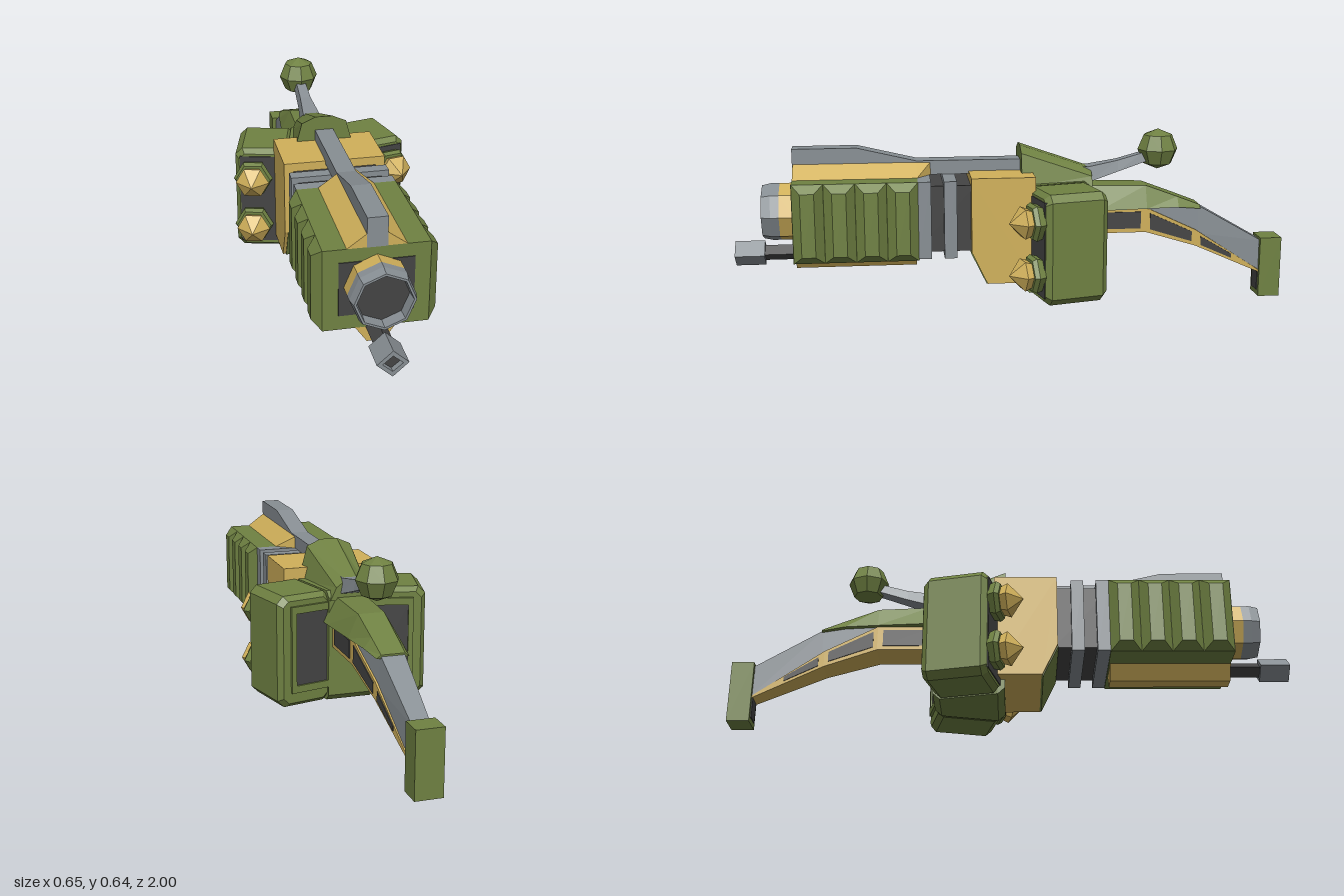
import * as THREE from 'three';

const mat = (color) => new THREE.MeshStandardMaterial({ color, flatShading: true });

export function createModel() {
  const model = new THREE.Group();
  const green = mat(0x6f8142), gold = mat(0xd0b05a), grey = mat(0x878e93), dark = mat(0x444444);

  const add = (name, geometry, material, parent = model) => {
    const mesh = new THREE.Mesh(geometry, material);
    mesh.name = name;
    parent.add(mesh);
    return mesh;
  };

  // Box given by its limits
  const box = (name, material, x0, x1, y0, y1, z0, z1, parent) => {
    const g = new THREE.BoxGeometry(x1 - x0, y1 - y0, z1 - z0);
    g.translate((x0 + x1) / 2, (y0 + y1) / 2, (z0 + z1) / 2);
    return add(name, g, material, parent);
  };

  // Capped skin over sections [z, points], front to back, points anticlockwise from the front
  const loft = (sections) => {
    const n = sections[0][1].length, last = sections.length - 1, pos = [];
    const put = (s, i) => pos.push(...sections[s][1][i % n], sections[s][0]);
    for (let s = 0; s < last; s++) {
      for (let i = 0; i < n; i++) {
        put(s, i); put(s + 1, i); put(s + 1, i + 1);
        put(s, i); put(s + 1, i + 1); put(s, i + 1);
      }
    }
    for (let i = 1; i < n - 1; i++) {
      put(0, 0); put(0, i); put(0, i + 1);
      put(last, 0); put(last, i + 1); put(last, i);
    }
    const g = new THREE.BufferGeometry();
    g.setAttribute('position', new THREE.Float32BufferAttribute(pos, 3));
    g.computeVertexNormals();
    return g;
  };

  // Side profile of (z, y) points, extruded across x
  const extrudeX = (points, width) => {
    const shape = new THREE.Shape(points.map((p) => new THREE.Vector2(...p)));
    const g = new THREE.ExtrudeGeometry(shape, { depth: width, bevelEnabled: false });
    return g.translate(0, 0, -width / 2).rotateY(-Math.PI / 2);
  };

  // Symmetric trapezoid, and rectangle with cut corners
  const trap = (bottom, top, y0, y1) => [[-bottom, y0], [bottom, y0], [top, y1], [-top, y1]];
  const cutRect = (w, y0, y1, c) => [[-w + c, y0], [w - c, y0], [w, y0 + c], [w, y1 - c],
    [w - c, y1], [-w + c, y1], [-w, y1 - c], [-w, y0 + c]];

  // Barrel housing with tapered side ribs
  box('barrelHousing', green, -0.17, 0.17, 0.21, 0.49, 0.35, 0.785);
  box('frontPanel', dark, -0.12, 0.12, 0.26, 0.445, 0.78, 0.788);
  for (const side of [-1, 1]) {
    for (let i = 0; i < 4; i++) {
      const rib = add('barrelRib', loft([[0.03, trap(0.024, 0.024, 0.238, 0.462)],
        [0, trap(0.054, 0.054, 0.21, 0.49)]]), green);
      rib.rotation.y = side * Math.PI / 2;
      rib.position.set(side * 0.17, 0, 0.404 + i * 0.1085);
    }
  }

  // Ridge, keel and top rail
  add('topRidge', loft([[0.785, trap(0.095, 0.033, 0.49, 0.535)], [0.35, trap(0.095, 0.033, 0.49, 0.535)],
    [0.3, trap(0.033, 0.03, 0.49, 0.535)]]), gold);
  add('keel', loft([[0.785, trap(0.028, 0.067, 0.157, 0.212)], [0.355, trap(0.028, 0.067, 0.157, 0.212)]]), gold);
  add('topRail', extrudeX([[0.787, 0.49], [0.787, 0.59], [0.56, 0.59], [0.35, 0.54],
    [-0.04, 0.54], [-0.04, 0.49]], 0.066), grey);

  // Neck and its two collars
  box('neck', dark, -0.145, 0.145, 0.235, 0.47, 0.15, 0.36);
  box('collar', grey, -0.17, 0.17, 0.215, 0.49, 0.305, 0.352);
  box('collar', grey, -0.17, 0.17, 0.215, 0.49, 0.215, 0.26);

  // Eight-sided muzzle
  const muzzle = new THREE.Group();
  muzzle.name = 'muzzle';
  muzzle.position.set(0, 0.36, 0.78);
  muzzle.rotation.x = Math.PI / 2;
  model.add(muzzle);
  add('muzzleBase', new THREE.CylinderGeometry(0.104, 0.104, 0.055, 8).translate(0, 0.0275, 0), gold, muzzle);
  const ring = [[0.104, 0.055], [0.104, 0.085], [0.097, 0.117], [0.089, 0.117], [0.085, 0.06]];
  add('muzzleRing', new THREE.LatheGeometry(ring.map((p) => new THREE.Vector2(...p)), 8), grey, muzzle);
  add('bore', new THREE.CylinderGeometry(0.088, 0.088, 0.01, 8).translate(0, 0.07, 0), dark, muzzle);

  // Diamond-shaped lower rod with a hollow tip
  const diamond = (w, h) => [[0, -h], [w, 0], [0, h], [-w, 0]];
  const tipShape = new THREE.Shape(diamond(0.05, 0.045).map((p) => new THREE.Vector2(...p)));
  tipShape.holes.push(new THREE.Path(diamond(0.032, 0.027).map((p) => new THREE.Vector2(...p))));
  add('rodTip', new THREE.ExtrudeGeometry(tipShape, { depth: 0.105, bevelEnabled: false }), grey)
    .position.set(0, 0.21, 0.895);
  add('rod', loft([[0.98, diamond(0.0325, 0.0275)], [0.78, diamond(0.0325, 0.0275)]]), dark).position.y = 0.21;

  // Receiver block with a sloped lower plate
  add('receiver', extrudeX([[0.165, 0.5], [-0.06, 0.5], [-0.06, 0.12], [0.11, 0.12], [0.165, 0.235]], 0.356), gold);
  add('slopePlate', extrudeX([[0.168, 0.232], [0.113, 0.118], [0.1, 0.122], [0.155, 0.236]], 0.334), green);

  // Central body and the hump above it
  add('centralBody', loft([[-0.02, trap(0.13, 0.13, 0.09, 0.44)], [-0.045, trap(0.13, 0.13, 0.067, 0.46)],
    [-0.25, trap(0.08, 0.08, 0.067, 0.46)], [-0.275, trap(0.08, 0.08, 0.09, 0.44)]]), green);
  const hump = (w, y0, y1, y2) => [[-w, y0], [w, y0], [w * 0.72, y1], [w * 0.28, y2], [-w * 0.28, y2], [-w * 0.72, y1]];
  add('hump', loft([[-0.02, hump(0.112, 0.45, 0.568, 0.59)], [-0.28, hump(0.075, 0.43, 0.475, 0.5)]]), green);

  // Splayed side pods with studs in front and a framed panel behind
  for (const side of [-1, 1]) {
    const pod = new THREE.Group();
    pod.name = side > 0 ? 'leftPod' : 'rightPod';
    pod.position.set(side * 0.19, 0, -0.17);
    pod.rotation.y = side * 0.24;
    model.add(pod);
    const outer = cutRect(0.103, 0.067, 0.46, 0.025), inner = cutRect(0.088, 0.083, 0.444, 0.02);
    add('podBody', loft([[0.115, inner], [0.095, outer], [-0.095, outer], [-0.115, inner]]), green, pod);
    box('podFrontPanel', dark, -0.085, 0.085, 0.095, 0.435, 0.1, 0.118, pod);

    for (const y of [0.175, 0.36]) {
      const stud = new THREE.Group();
      stud.name = 'stud';
      stud.position.set(side * 0.035, y, 0.115);
      stud.rotation.set(Math.PI / 2, 0, 0);
      pod.add(stud);
      const hex = (name, r0, r1, y0, y1, m) => add(name,
        new THREE.CylinderGeometry(r1, r0, y1 - y0, 6).rotateY(Math.PI / 6).translate(0, (y0 + y1) / 2, 0), m, stud);
      hex('studBase', 0.062, 0.071, 0, 0.025, green);
      hex('studBase', 0.071, 0.062, 0.025, 0.04, green);
      hex('studCollar', 0.05, 0.06, 0.04, 0.065, gold);
      hex('studTip', 0.06, 0, 0.065, 0.115, gold);
    }

    const rect = (w, y0, y1) => trap(w, w, y0, y1).map((p) => new THREE.Vector2(...p));
    const frame = new THREE.Shape(rect(0.08, 0.12, 0.425));
    frame.holes.push(new THREE.Path(rect(0.062, 0.145, 0.4)));
    add('backFrame', new THREE.ExtrudeGeometry(frame, { depth: 0.02, bevelEnabled: false }), green, pod)
      .position.set(-side * 0.02, 0, -0.125);
    box('backPanel', dark, -side * 0.02 - 0.065, -side * 0.02 + 0.065, 0.14, 0.405, -0.118, -0.1, pod);
  }

  // Antenna with a ball end
  add('antenna', loft([[-0.2, trap(0.035, 0.03, 0.44, 0.51)], [-0.27, trap(0.04, 0.03, 0.45, 0.505)],
    [-0.38, trap(0.028, 0.02, 0.485, 0.525)], [-0.47, trap(0.024, 0.018, 0.515, 0.55)],
    [-0.52, trap(0.024, 0.018, 0.53, 0.56)]]), grey);
  add('antennaBall', new THREE.SphereGeometry(0.074, 8, 4), green).position.set(0, 0.562, -0.53);

  // Curved tail: green cover, grey arm, gold underside with dark windows
  add('tailCover', loft([[-0.2, trap(0.1, 0.05, 0.355, 0.44)], [-0.3, trap(0.095, 0.05, 0.355, 0.44)],
    [-0.48, trap(0.08, 0.045, 0.355, 0.435)], [-0.6, trap(0.068, 0.042, 0.355, 0.39)],
    [-0.685, trap(0.055, 0.04, 0.345, 0.357)]]), green);
  add('tailArm', loft([[-0.47, trap(0.062, 0.062, 0.35, 0.36)], [-0.68, trap(0.046, 0.04, 0.25, 0.354)],
    [-0.93, trap(0.032, 0.03, 0.095, 0.21)]]), grey);
  const tailWidth = (z) => 0.066 - 0.03 * Math.max(0, (-z - 0.48) / 0.44);
  const lower = (z, y0, y1, grow = 0) => [z, trap(tailWidth(z) + grow, tailWidth(z) + grow, y0, y1)];
  add('tailUnderside', loft([lower(-0.2, 0.265, 0.356), lower(-0.48, 0.265, 0.356),
    lower(-0.67, 0.205, 0.265), lower(-0.92, 0.092, 0.1)]), gold);
  const windows = [[[-0.3, 0.28, 0.342], [-0.46, 0.28, 0.342]], [[-0.495, 0.275, 0.335], [-0.655, 0.223, 0.26]],
    [[-0.69, 0.207, 0.24], [-0.81, 0.152, 0.168]]];
  for (const [a, b] of windows) add('tailWindow', loft([lower(...a, 0.003), lower(...b, 0.003)]), dark);

  // End block of the tail
  box('tailBlock', green, -0.047, 0.047, 0, 0.225, -1, -0.92);
  box('tailBlockPanel', dark, -0.031, 0.031, 0.02, 0.2, -0.93, -0.917);

  return model;
}
